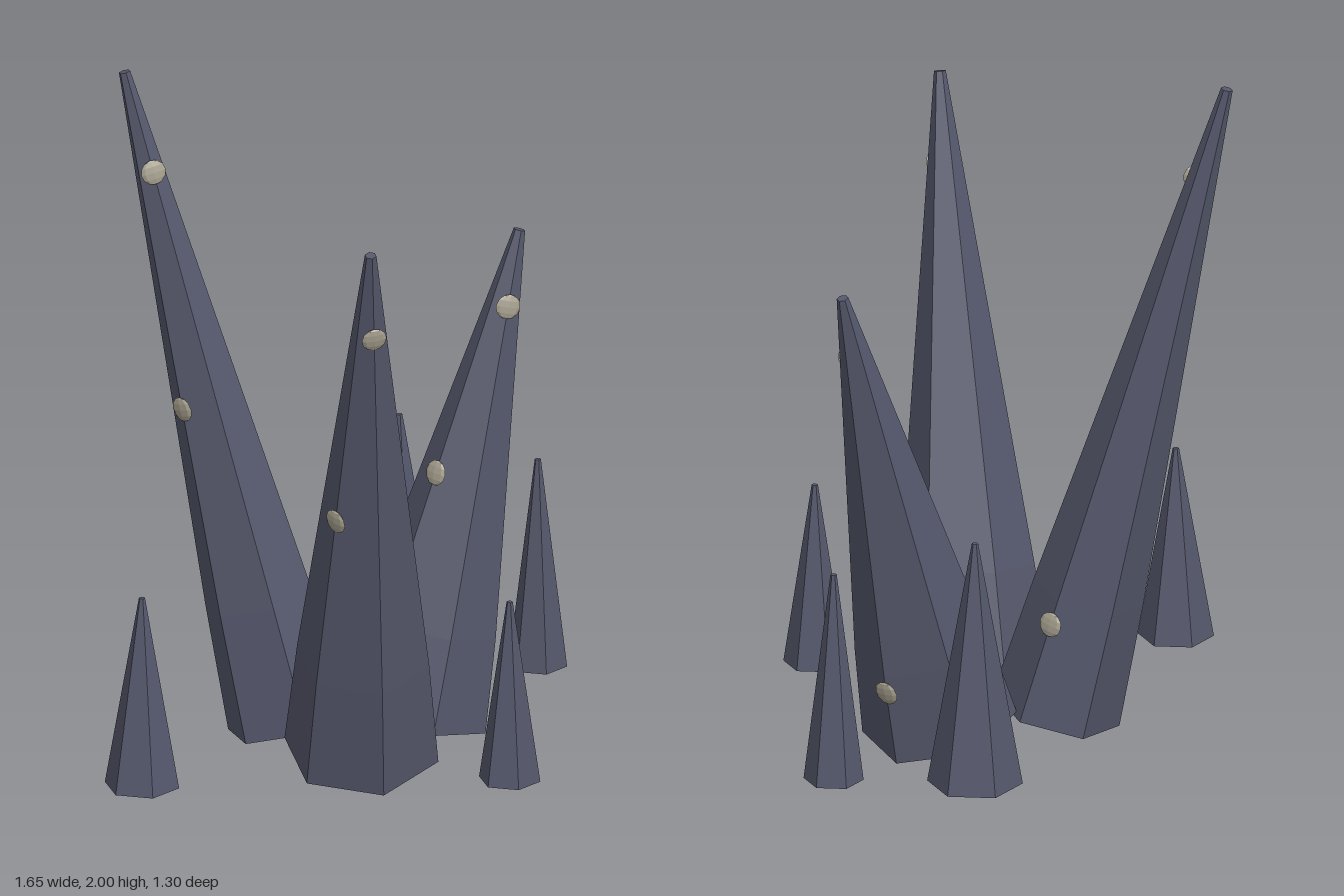
import * as THREE from 'three';

const GROUND = 0.06;
const UP = new THREE.Vector3(0, 1, 0);
const stone = new THREE.MeshStandardMaterial({ color: 0x55586c, flatShading: true });
const lichen = new THREE.MeshStandardMaterial({ color: 0xa8a290, flatShading: true });

// Six-sided closed spike, with corners on the x axis
function spikeGeometry(profile) {
  const points = profile.map(([r, y]) => new THREE.Vector2(r, y));
  const geometry = new THREE.LatheGeometry(points, 6, Math.PI / 2).toNonIndexed();
  geometry.computeVertexNormals();
  return geometry;
}

// Flat round patches on each tall spike: height fraction and angle round the axis
const PATCHES = [[0.155, 0], [0.5, 180], [0.85, 120]];

// Tall spike leaning from its base centre to its tip
function leaningSpike(name, base, tip, radius) {
  const group = new THREE.Group();
  group.name = name;
  const start = new THREE.Vector3(...base);
  const axis = new THREE.Vector3(...tip).sub(start);
  const length = axis.length();
  group.position.copy(start);
  group.quaternion.setFromUnitVectors(UP, axis.normalize());

  const bend = 0.19, bendRadius = 0.86 * radius, tipRadius = 0.017;
  const shaft = new THREE.Mesh(spikeGeometry([
    [0, 0], [radius, 0], [bendRadius, bend * length], [tipRadius, length], [0, length],
  ]), stone);
  shaft.name = 'spikeShaft';
  group.add(shaft);

  for (const [t, degrees] of PATCHES) {
    const angle = THREE.MathUtils.degToRad(degrees);
    const r = t < bend
      ? THREE.MathUtils.lerp(radius, bendRadius, t / bend)
      : THREE.MathUtils.lerp(bendRadius, tipRadius, (t - bend) / (1 - bend));
    const patch = new THREE.Mesh(new THREE.SphereGeometry(0.037, 8, 6), lichen);
    patch.name = 'lichenPatch';
    patch.scale.z = 0.25;
    patch.position.set(Math.cos(angle) * r, t * length, Math.sin(angle) * r);
    patch.rotation.y = Math.PI / 2 - angle;
    group.add(patch);
  }
  return group;
}

// Small upright spike standing on the ground level
function smallSpike(x, z, radius, top) {
  const h = top - GROUND;
  const mesh = new THREE.Mesh(spikeGeometry([[0, 0], [radius, 0], [0.009, h], [0, h]]), stone);
  mesh.name = 'smallSpike';
  mesh.position.set(x, GROUND, z);
  return mesh;
}

export function createModel() {
  const model = new THREE.Group();
  model.name = 'rockSpikes';

  // Central cluster
  model.add(
    leaningSpike('backSpike', [-0.06, GROUND, -0.2], [-0.285, 1.997, -0.637], 0.187),
    leaningSpike('frontSpike', [-0.088, GROUND, 0.108], [-0.403, 1.763, 0.443], 0.226),
    leaningSpike('sideSpike', [0.21, GROUND, 0.018], [0.573, 1.467, 0.103], 0.225),
  );

  // Scattered outer spikes
  for (const spec of [
    [-0.716, -0.16, 0.109, 0.635],
    [0.526, -0.325, 0.137, 0.795],
    [0.737, 0.02, 0.086, 0.69],
    [0.04, 0.57, 0.09, 0.605],
  ]) model.add(smallSpike(...spec));

  return model;
}
